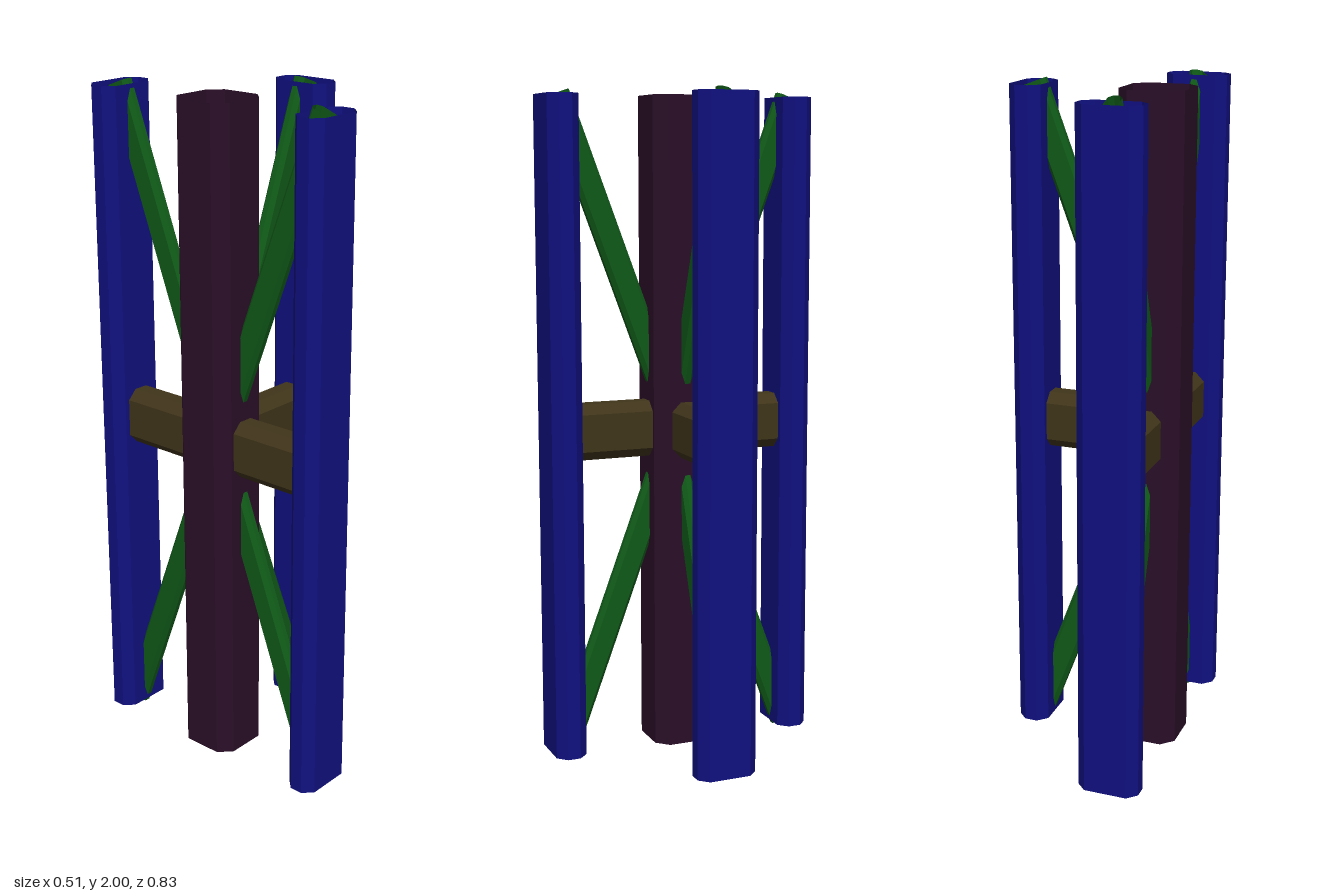
import * as THREE from 'three';

const HEIGHT = 1.972;   // length of every upright
const MID = 1;          // height of the hub
const REACH = 0.37;     // hub axis to outer upright axis
const HUB_X = -0.163;

const paint = (color) =>
  new THREE.MeshStandardMaterial({ color, flatShading: true, side: THREE.DoubleSide });
const purple = paint(0x2a0f28);
const blue = paint(0x101080);
const brown = paint(0x40351a);
const green = paint(0x105a18);

// Open-ended tube along y with a rectangular section whose corners are cut by c
function chamferedTube(name, w, d, c, length, material) {
  const x = w / 2, z = d / 2;
  const ring = [
    [x - c, z], [x, z - c], [x, c - z], [x - c, -z],
    [c - x, -z], [-x, c - z], [-x, z - c], [c - x, z],
  ];
  const geometry = new THREE.CylinderGeometry(1, 1, length, 8, 1, true);
  const pos = geometry.attributes.position;
  for (let i = 0; i < pos.count; i++) {
    const [px, pz] = ring[(i % 9) % 8];
    pos.setX(i, px);
    pos.setZ(i, pz);
  }
  geometry.computeVertexNormals();
  const mesh = new THREE.Mesh(geometry, material);
  mesh.name = name;
  return mesh;
}

// One arm reaching out along +x: crossbeam, outer upright and two diagonal braces
function createArm(name) {
  const arm = new THREE.Group();
  arm.name = name;

  const beamLength = 0.384;
  const beam = chamferedTube('crossbeam', 0.168, 0.1, 0.028, beamLength, brown);
  beam.rotation.z = -Math.PI / 2;
  beam.position.set(beamLength / 2, MID, 0);
  arm.add(beam);

  const upright = chamferedTube('outerUpright', 0.095, 0.185, 0.028, HEIGHT, blue);
  upright.position.set(REACH, MID, 0);
  arm.add(upright);

  const rise = HEIGHT / 2;
  for (const s of [1, -1]) {
    const brace = chamferedTube(s > 0 ? 'upperBrace' : 'lowerBrace',
      0.08, 0.04, 0.012, Math.hypot(REACH, rise), green);
    brace.rotation.z = -s * Math.atan2(REACH, rise);
    brace.position.set(REACH / 2, MID + s * rise / 2, 0);
    arm.add(brace);
  }
  return arm;
}

export function createModel() {
  const model = new THREE.Group();
  model.name = 'bracedFrame';

  // Central column
  const column = chamferedTube('centralColumn', 0.19, 0.19, 0.036, HEIGHT, purple);
  column.position.set(HUB_X, MID, 0);
  model.add(column);

  // Three arms in a T around the column
  const arms = [['leftArm', 0], ['frontArm', -Math.PI / 2], ['backArm', Math.PI / 2]];
  for (const [name, angle] of arms) {
    const arm = createArm(name);
    arm.rotation.y = angle;
    arm.position.x = HUB_X;
    model.add(arm);
  }
  return model;
}
